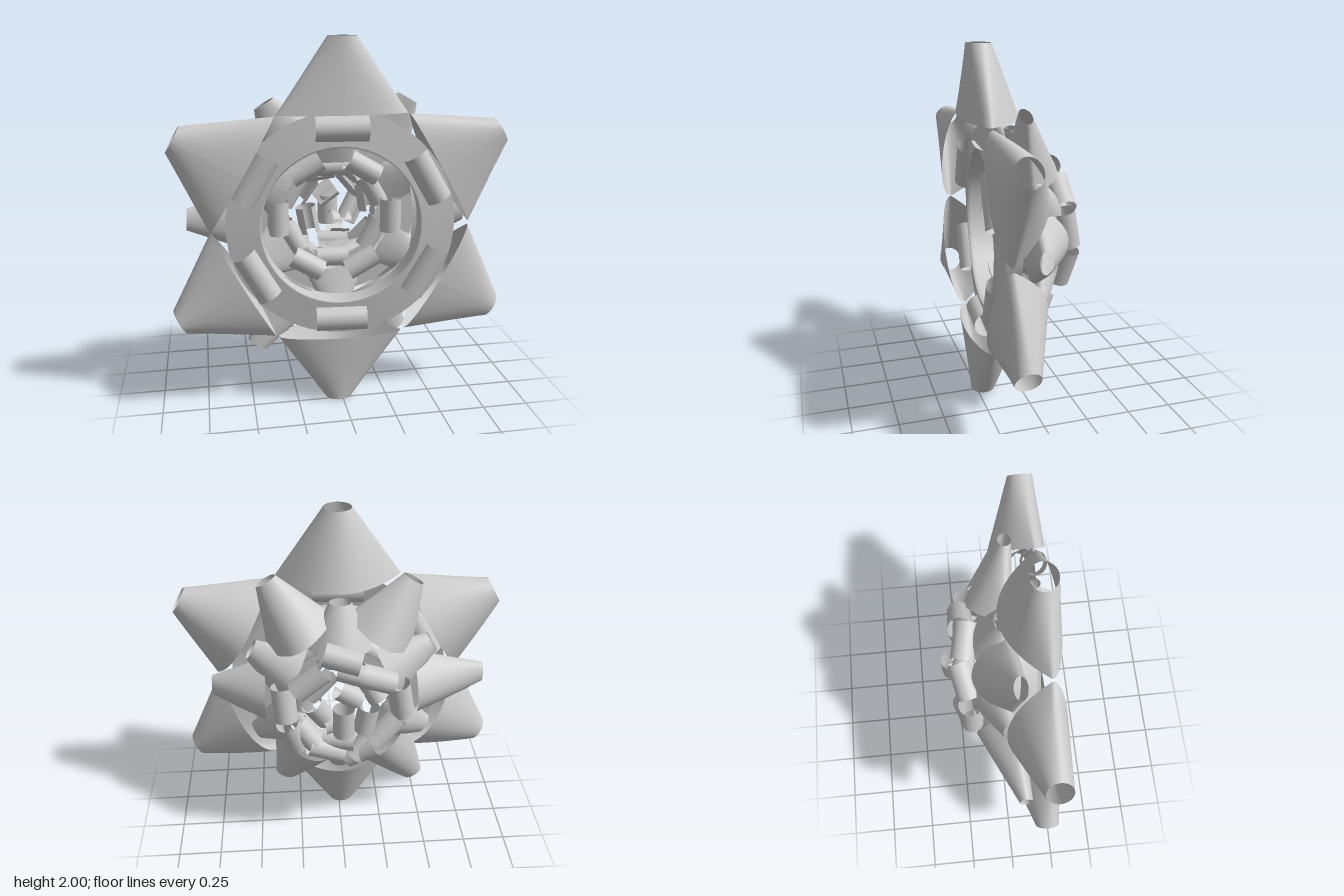
import * as THREE from 'three';

const mat = new THREE.MeshStandardMaterial({ color: 0xcccccc, side: THREE.DoubleSide });
const lerp = THREE.MathUtils.lerp;
const rad = THREE.MathUtils.degToRad;

// Hollow ribbon cone pointing along +x, from a flat-fronted bell section to a round tip.
// base and tip are [radius, edge z, halfWidth, front bulge, back bulge]
function coneGeometry(base, tip) {
  const g = new THREE.CylinderGeometry(1, 1, 1, 40, 6, true);
  const p = g.attributes.position;
  for (let i = 0; i < p.count; i++) {
    const t = p.getY(i) + 0.5, s = p.getZ(i);
    const [r, z, w, front, back] = base.map((b, k) => lerp(b, tip[k], t));
    const bulge = s > 0 ? front * s : -back * lerp(s * s, -s, t);
    p.setXYZ(i, r, -p.getX(i) * w, z + bulge);
  }
  g.computeVertexNormals();
  return g;
}

function add(parent, name, geometry) {
  const m = new THREE.Mesh(geometry, mat);
  m.name = name;
  parent.add(m);
  return m;
}

// Ring of cones, each given as [angle, tip radius]
function layer(parent, name, cones, base, tip) {
  const group = new THREE.Group();
  group.name = name;
  for (const [a, r] of cones) {
    add(group, 'ribbonCone', coneGeometry(base, [r, ...tip])).rotation.z = rad(a);
  }
  parent.add(group);
}

// Open ribbon curl: a rolled strip with its axis in the bow's plane
function curl(parent, name, x, y, z, angle, length, radius, arc = 2 * Math.PI, tilt = 0) {
  const g = new THREE.CylinderGeometry(radius, radius, length, 24, 1, true, 0.4, arc);
  g.rotateZ(Math.PI / 2);
  const m = add(parent, name, g);
  m.position.set(x, y, z);
  m.rotation.set(0, tilt, rad(angle), 'ZYX');
}

// Winding of the ribbon: a band of [radius, z] points with rolled loops lying on it
function winding(parent, name, profile, z, tilt, loopR, loopLength, loopSize, firstAngle) {
  const group = new THREE.Group();
  group.name = name;
  group.position.z = z;
  group.rotation.y = tilt;
  const band = new THREE.LatheGeometry(profile.map(([r, h]) => new THREE.Vector2(r, h)), 64);
  add(group, 'band', band.rotateX(Math.PI / 2));
  for (let i = 0; i < 6; i++) {
    const a = firstAngle + i * 60;
    curl(group, 'bandLoop', loopR * Math.cos(rad(a)), loopR * Math.sin(rad(a)), 0.01,
      a + 90, loopLength, loopSize);
  }
  parent.add(group);
}

export function createModel() {
  const model = new THREE.Group();
  model.name = 'ribbonBow';
  const bow = new THREE.Group();
  bow.name = 'bow';
  bow.position.y = 1;
  model.add(bow);

  // Three layers of cones, shrinking towards the back
  layer(bow, 'largeCones', [[30, 1], [90, 1], [150, 1], [209, 1], [269, 1], [329.5, 1]],
    [0.61, 0.23, 0.345, 0.08, 0.23], [0.21, 0.075, 0.068, 0.068]);
  layer(bow, 'middleCones', [[2, 0.72], [60, 0.77], [121, 0.76], [177, 0.82], [237, 0.85], [297, 0.75]],
    [0.42, 0.03, 0.21, 0.07, 0.18], [0.075, 0.06, 0.035, 0.035]);
  layer(bow, 'smallCones', [[30, 0.56], [90, 0.55], [150, 0.58], [210, 0.57], [270, 0.55], [330, 0.56]],
    [0.31, -0.04, 0.18, 0.05, 0.12], [0.03, 0.06, 0.045, 0.045]);

  // Spiral windings inside the cones, the front one leaning slightly to the right
  winding(bow, 'frontWinding', [[0.44, -0.13], [0.43, 0], [0.43, 0.02], [0.44, 0.02], [0.62, 0]],
    0.2, -0.08, 0.53, 0.28, 0.068, 30);
  winding(bow, 'middleWinding', [[0.34, 0], [0.45, 0]], -0.01, -0.06, 0.32, 0.19, 0.06, 0);
  winding(bow, 'backWinding', [[0.25, 0], [0.33, 0]], -0.1, -0.05, 0.27, 0.18, 0.055, 30);

  // Outer ring of curls on the back
  for (let i = 0; i < 9; i++) {
    const a = 10 + i * 40, r = i % 2 ? 0.27 : 0.32;
    curl(bow, 'outerCurl', r * Math.cos(rad(a)), r * Math.sin(rad(a)), i % 2 ? -0.19 : -0.17,
      a + 90 + (i % 3 - 1) * 14, 0.2, 0.065, 5.6, (i % 3 - 1) * 0.2);
  }

  // Inner curls: x, y, z, angle, length
  const inner = [
    [-0.07, 0.23, -0.18, 12, 0.19], [0.13, 0.17, -0.17, -50, 0.17], [0.13, 0.0, -0.18, 60, 0.17],
    [0.02, -0.2, -0.18, 0, 0.18], [-0.13, -0.06, -0.18, 100, 0.16], [-0.12, -0.27, -0.16, -45, 0.18],
    [0.2, -0.16, -0.17, 50, 0.16], [-0.03, 0.1, -0.17, 35, 0.13], [0.05, -0.08, -0.17, -10, 0.12],
    [-0.16, 0.13, -0.16, 60, 0.15], [0.21, 0.08, -0.13, 100, 0.16], [0.1, -0.26, -0.12, 20, 0.16],
  ];
  inner.forEach(([x, y, z, a, l], i) =>
    curl(bow, 'innerCurl', x, y, z, a, l, 0.06, 5.4, (i % 3 - 1) * 0.25));

  // Single loop at the very back
  curl(bow, 'centreLoop', 0, -0.02, -0.255, 90, 0.17, 0.058);

  return model;
}
